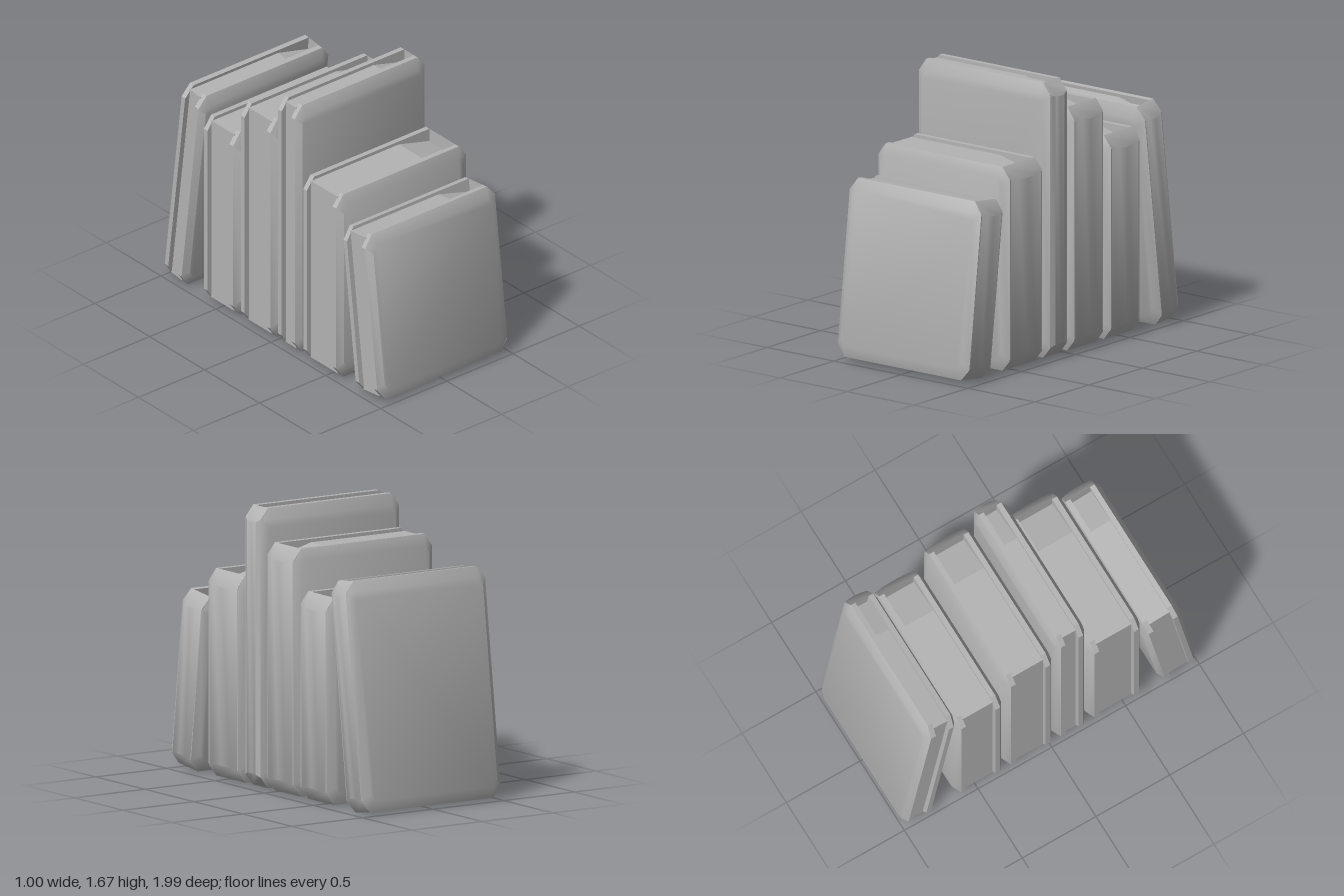
import * as THREE from 'three';
import { toCreasedNormals } from 'three/addons/utils/BufferGeometryUtils.js';
import { ConvexGeometry } from 'three/addons/geometries/ConvexGeometry.js';

const BOARD = 0.06;   // cover thickness
const BEVEL = 0.028;  // depth of the soft outer bevel
const CUT = 0.075;    // height of the clipped corners

// Eight points of a rectangle with clipped corners
function octagon(x0, x1, h, cx, cy, z) {
  return [
    [x0 + cx, -h], [x1 - cx, -h], [x1, -h + cy], [x1, h - cy],
    [x1 - cx, h], [x0 + cx, h], [x0, h - cy], [x0, -h + cy],
  ].map(([x, y]) => new THREE.Vector3(x, y, z));
}

function coverGeometry(h, half, side) {
  const points = [
    ...octagon(-0.497, 0.485, h, 0.055, CUT, side * (half - BOARD)),
    ...octagon(-0.497, 0.485, h, 0.055, CUT, side * (half - BEVEL)),
    ...octagon(-0.46, 0.44, h - 0.065, 0.03, 0.045, side * half),
  ];
  return toCreasedNormals(new ConvexGeometry(points), 0.62);
}

// Rounded spine whose ends slope down towards the outside
function spineGeometry(h, half) {
  const z1 = half - BEVEL, z2 = Math.max(half - 0.09, half * 0.4);
  const shape = new THREE.Shape([
    [0.43, -z1], [0.483, -z1], [0.496, -z2], [0.5, 0],
    [0.496, z2], [0.483, z1], [0.43, z1],
  ].map(([x, z]) => new THREE.Vector2(x, -z)));
  const g = new THREE.ExtrudeGeometry(shape, { depth: 2 * h, bevelEnabled: false });
  g.translate(0, 0, -h).rotateX(-Math.PI / 2);
  const p = g.attributes.position;
  for (let i = 0; i < p.count; i++) {
    const drop = CUT * Math.max(0, p.getX(i) - 0.43) / 0.06;
    p.setY(i, p.getY(i) - Math.sign(p.getY(i)) * drop);
  }
  return toCreasedNormals(g, 0.75);
}

// Page block, recessed from the covers and dipping near the spine
function pagesGeometry(h, half) {
  const shape = new THREE.Shape([
    [-0.465, -h + 0.02], [0.44, -h + 0.02], [0.44, h - 0.085],
    [0.2, h - 0.02], [-0.465, h - 0.02],
  ].map(([x, y]) => new THREE.Vector2(x, y)));
  const depth = 2 * (half - BOARD) + 0.01;
  const g = new THREE.ExtrudeGeometry(shape, { depth, bevelEnabled: false });
  return g.translate(0, 0, -depth / 2);
}

export function createModel() {
  const model = new THREE.Group();
  model.name = 'bookRow';
  const grey = new THREE.MeshStandardMaterial({ color: 0xb4b4b4 });
  grey.name = 'plain grey';

  // Centre height, centre z, height, thickness and lean of each book
  const books = [
    [0.552, 0.813, 1.058, 0.254, -0.122],
    [0.632, 0.442, 1.225, 0.355, 0],
    [0.848, 0.139, 1.655, 0.208, 0],
    [0.752, -0.141, 1.465, 0.322, 0],
    [0.632, -0.48, 1.225, 0.32, 0],
    [0.69, -0.816, 1.355, 0.21, 0.128],
  ];

  books.forEach(([y, z, height, thickness, lean], i) => {
    const book = new THREE.Group();
    book.name = `book${i + 1}`;
    const h = height / 2, half = thickness / 2;
    const add = (name, geometry) => {
      const mesh = new THREE.Mesh(geometry, grey);
      mesh.name = name;
      book.add(mesh);
    };
    add('frontCover', coverGeometry(h, half, 1));
    add('backCover', coverGeometry(h, half, -1));
    add('spine', spineGeometry(h, half));
    add('pages', pagesGeometry(h, half));
    book.position.set(0, y, z);
    book.rotation.x = lean;
    model.add(book);
  });
  return model;
}
